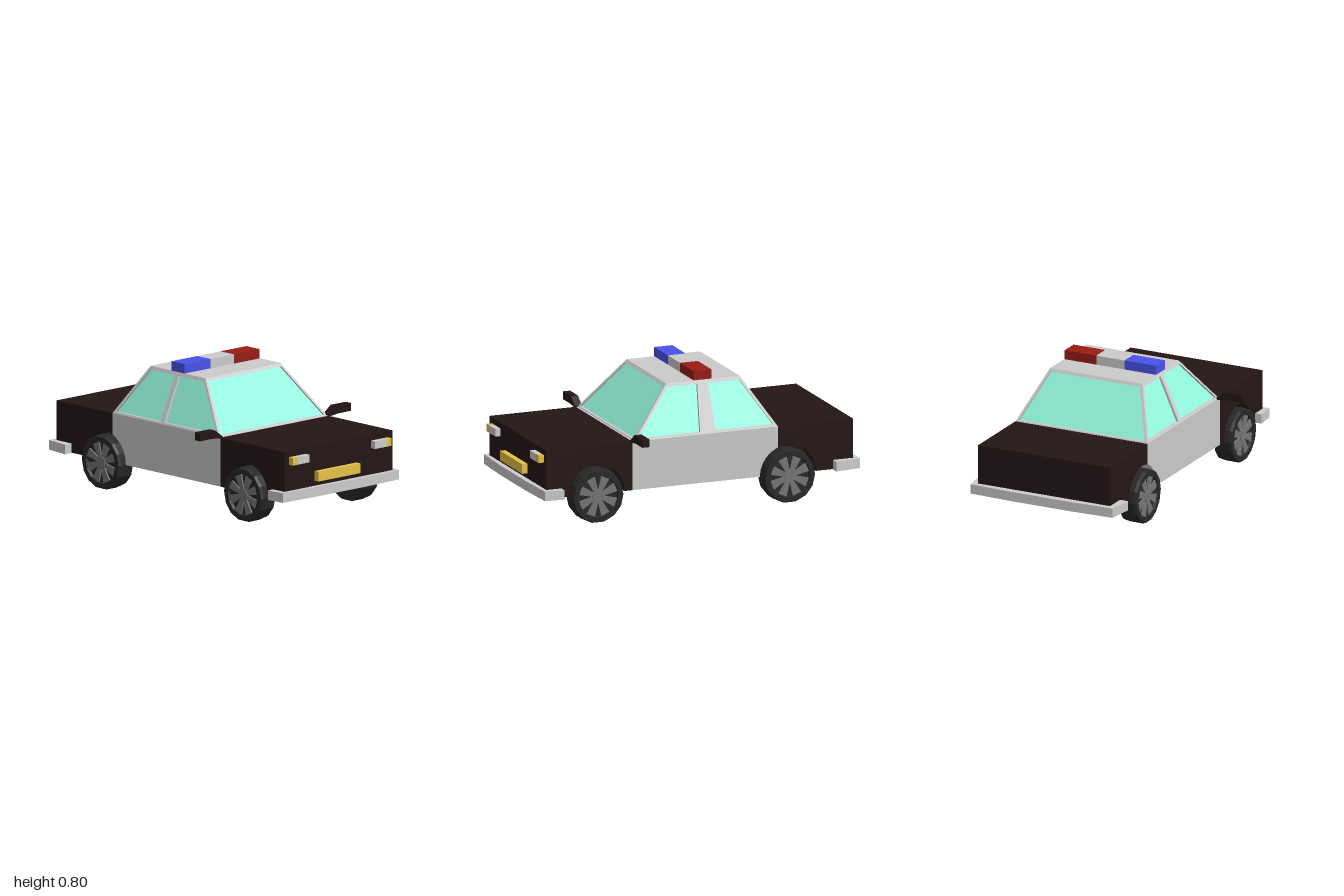
import * as THREE from 'three';

const mat = (color) => new THREE.MeshStandardMaterial({ color, flatShading: true, side: THREE.DoubleSide });
const white = mat(0xcccccc), black = mat(0x241516), glass = mat(0x95fadf), yellow = mat(0xe6c148);
const red = mat(0x971d15), blue = mat(0x4853ea), tyreMat = mat(0x282828), spokeMat = mat(0x757575);

const SILL = 0.165, BELT = 0.455, ROOF = 0.745, HALF = 0.43, CORE = 0.34;
const AXLES = [0.653, -0.547], ARCH = 0.175;

function add(parent, name, geometry, material) {
  const mesh = new THREE.Mesh(geometry, material);
  mesh.name = name;
  parent.add(mesh);
  return mesh;
}

// Box given by its minimum and maximum on each axis
function block(parent, name, material, x0, x1, y0, y1, z0, z1) {
  const g = new THREE.BoxGeometry(x1 - x0, y1 - y0, z1 - z0);
  g.translate((x0 + x1) / 2, (y0 + y1) / 2, (z0 + z1) / 2);
  return add(parent, name, g, material);
}

const toShape = (pts) => new THREE.Shape(pts.map(([x, y]) => new THREE.Vector2(x, y)));
const extrude = (shape, depth) => new THREE.ExtrudeGeometry(shape, { depth, bevelEnabled: false });

// Height of the lower body edge, raised over the wheels
function lowerEdge(z) {
  const d = Math.min(...AXLES.map((c) => Math.abs(z - c)));
  return d < ARCH ? SILL + Math.sqrt(ARCH * ARCH - d * d) : SILL;
}

// One length of the body: a core plus two side slabs with wheel arches
function bodySection(parent, name, material, z0, z1) {
  const section = new THREE.Group();
  section.name = name;
  parent.add(section);
  block(section, name + 'Core', material, -CORE, CORE, SILL, BELT, z0, z1);
  const edge = [z0, z1];
  for (const c of AXLES) {
    for (let i = 0; i <= 14; i++) edge.push(c + ARCH * Math.cos((i / 14) * Math.PI));
  }
  const lower = edge.filter((z) => z >= z0 && z <= z1).sort((a, b) => b - a).map((z) => [-z, lowerEdge(z)]);
  const shape = toShape([...lower, [-z0, BELT], [-z1, BELT]]);
  for (const x of [CORE, -HALF]) {
    const side = add(section, name + 'Side', extrude(shape, HALF - CORE), material);
    side.rotation.y = Math.PI / 2;
    side.position.x = x;
  }
}

// Sloping cabin face with framed panes; dBase and dTop are its distances from the middle
function cabinFace(parent, name, angle, dBase, dTop, outline, panes) {
  const face = new THREE.Group();
  face.name = name;
  face.rotation.y = angle;
  parent.add(face);
  const k = (dBase - dTop) / (ROOF - BELT), t = 0.015;
  const lean = new THREE.Matrix4().set(
    1, 0, 0, 0,
    0, 1, 0, 0,
    0, -k, 1, dBase + k * BELT - t,
    0, 0, 0, 1);
  const frame = toShape(outline);
  frame.holes = panes.map(toShape);
  add(face, name + 'Frame', extrude(frame, t).applyMatrix4(lean), white);
  for (const pane of panes) {
    add(face, name + 'Glass', new THREE.ShapeGeometry(toShape(pane)).applyMatrix4(lean), glass);
  }
}

function createCabin(parent) {
  const cabin = new THREE.Group();
  cabin.name = 'cabin';
  parent.add(cabin);
  const endOutline = [[-0.43, BELT], [0.43, BELT], [0.30, ROOF], [-0.30, ROOF]];
  const endPane = [[-0.41, 0.462], [0.41, 0.462], [0.29, 0.728], [-0.29, 0.728]];
  cabinFace(cabin, 'windscreen', 0, 0.415, 0.16, endOutline, [endPane]);
  cabinFace(cabin, 'rearWindow', Math.PI, 0.485, 0.30, endOutline, [endPane]);
  for (const s of [1, -1]) {
    // The centre pillar is wide on the left and narrow on the right
    const [front0, front1, rear] = s > 0 ? [0.0, -0.03, -0.097] : [-0.052, -0.055, -0.085];
    const along = (pts) => pts.map(([z, y]) => [-s * z, y]);
    cabinFace(cabin, s > 0 ? 'leftWindows' : 'rightWindows', s * Math.PI / 2, HALF, 0.30,
      along([[0.415, BELT], [-0.485, BELT], [-0.30, ROOF], [0.16, ROOF]]),
      [along([[0.388, 0.466], [front0, 0.466], [front1, 0.725], [0.157, 0.725]]),
        along([[rear, 0.466], [-0.46, 0.466], [-0.293, 0.725], [rear, 0.725]])]);
  }
  block(cabin, 'roof', white, -0.30, 0.30, 0.732, ROOF, -0.30, 0.16);
}

function createWheel(s, z) {
  const wheel = new THREE.Group();
  wheel.name = 'wheel';
  const profile = [[0, -0.057], [0.157, -0.057], [0.161, -0.04], [0.161, 0.04], [0.155, 0.057],
    [0.125, 0.057], [0.12, 0.04], [0, 0.04]].map(([r, y]) => new THREE.Vector2(r, y));
  add(wheel, 'tyre', new THREE.LatheGeometry(profile, 14), tyreMat);
  // Eight spokes widening outwards, around a hub
  const spoke = extrude(toShape([[0.02, -0.011], [0.118, -0.027], [0.118, 0.027], [0.02, 0.011]]), 0.012);
  spoke.rotateX(-Math.PI / 2).translate(0, 0.038, 0);
  for (let i = 0; i < 8; i++) {
    add(wheel, 'spoke', spoke, spokeMat).rotation.y = (i + 0.5) * Math.PI / 4;
  }
  const hub = add(wheel, 'hub', new THREE.CylinderGeometry(0.036, 0.036, 0.016, 12), spokeMat);
  hub.position.y = 0.046;
  wheel.rotation.z = -s * Math.PI / 2;
  wheel.position.set(s * 0.412, 0.158, z);
  return wheel;
}

// Wraparound bumper; e is +1 for the front end and -1 for the rear
function createBumper(parent, e, tipX, tipZ) {
  const half = [[0.2, 0.997], [0.462, 0.987], [tipX, tipZ], [0.42, tipZ], [0.42, 0.945]];
  const pts = [...half, ...half.map(([x, z]) => [-x, z]).reverse()];
  const g = extrude(toShape(pts.map(([x, z]) => [x, -e * z])), 0.057);
  g.rotateX(-Math.PI / 2).translate(0, 0.163, 0);
  add(parent, e > 0 ? 'frontBumper' : 'rearBumper', g, white);
}

export function createModel() {
  const car = new THREE.Group();
  car.name = 'patrolCar';

  bodySection(car, 'bonnet', black, 0.425, 0.965);
  bodySection(car, 'middleBody', white, -0.485, 0.425);
  bodySection(car, 'boot', black, -0.955, -0.485);
  createCabin(car);
  createBumper(car, 1, 0.472, 0.87);
  createBumper(car, -1, 0.482, 0.83);

  // Wheels and dark wells behind them
  for (const s of [1, -1]) {
    for (const z of AXLES) {
      car.add(createWheel(s, z));
      const well = add(car, 'wheelWell', new THREE.CircleGeometry(ARCH, 14, 0, Math.PI), black);
      well.rotation.y = s * Math.PI / 2;
      well.position.set(s * (CORE + 0.002), SILL, z);
    }
  }

  // Door mirrors
  const arm = [[0.42, 0.462], [0.43, 0.452], [0.5, 0.46], [0.6, 0.46], [0.6, 0.507], [0.48, 0.507]];
  for (const s of [1, -1]) {
    const mirror = add(car, s > 0 ? 'leftMirror' : 'rightMirror',
      extrude(toShape(arm.map(([x, y]) => [s * x, y])), 0.044), black);
    mirror.position.z = 0.39;
  }

  // Headlights with outer indicators, and the number plate
  for (const s of [1, -1]) {
    const lamp = (name, m, a, b) =>
      block(car, name, m, Math.min(s * a, s * b), Math.max(s * a, s * b), 0.375, 0.42, 0.955, 0.998);
    lamp('headlight', white, 0.26, 0.355);
    lamp('indicator', yellow, 0.355, 0.393);
  }
  block(car, 'numberPlate', yellow, -0.19, 0.143, 0.25, 0.308, 0.955, 0.998);

  // Roof light bar
  block(car, 'blueLight', blue, -0.30, -0.094, 0.74, 0.80, -0.125, -0.013);
  block(car, 'lightBarCentre', white, -0.094, 0.09, 0.74, 0.80, -0.125, -0.013);
  block(car, 'redLight', red, 0.09, 0.296, 0.74, 0.80, -0.125, -0.013);
  return car;
}
